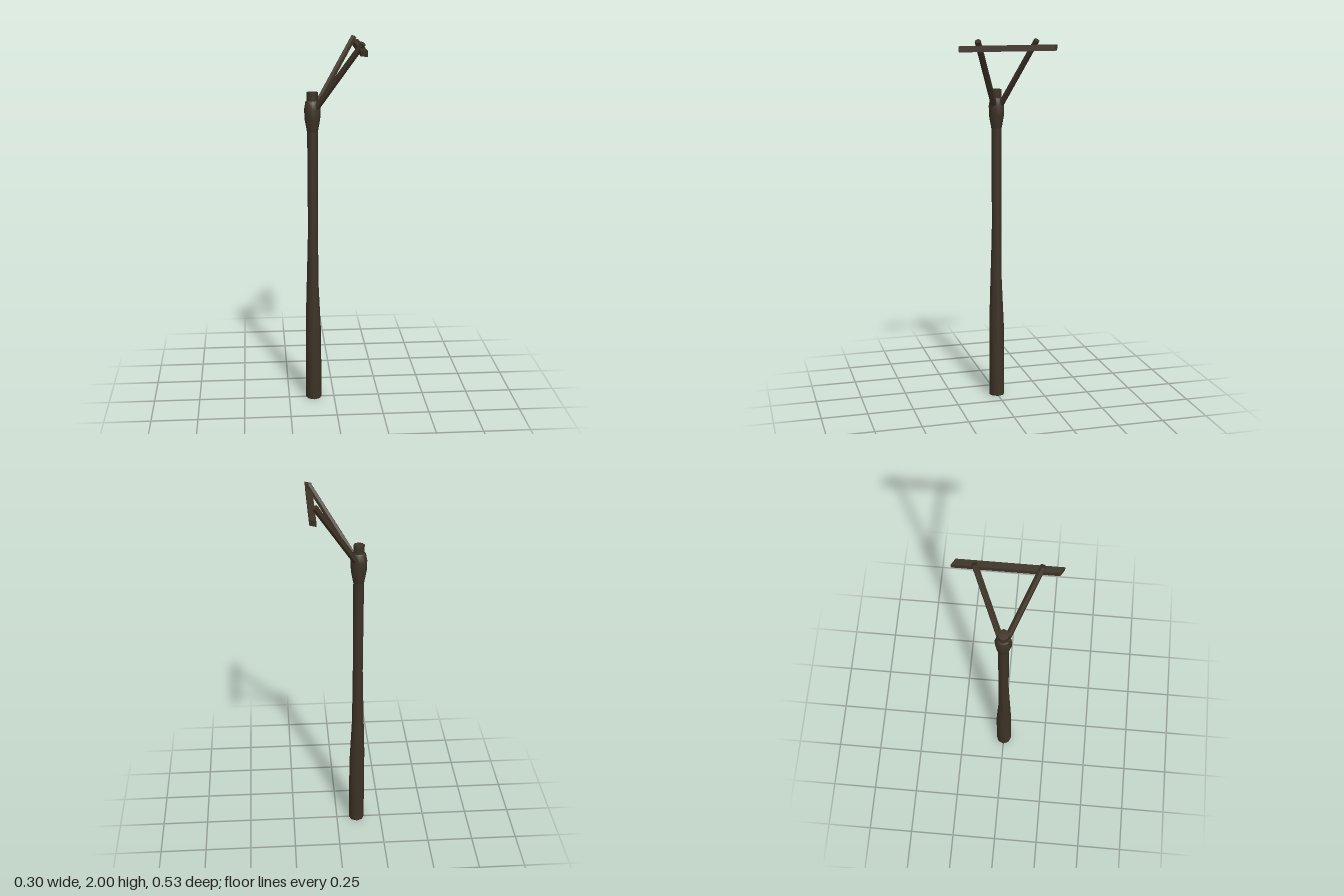
import * as THREE from 'three';
import { toCreasedNormals } from 'three/addons/utils/BufferGeometryUtils.js';

export function createModel() {
  const group = new THREE.Group();
  const wood = new THREE.MeshStandardMaterial({ color: 0x3d3226 });
  wood.name = 'darkWood';
  const axisX = -0.113;

  const add = (name, geometry, x = 0, y = 0, z = 0) => {
    const mesh = new THREE.Mesh(toCreasedNormals(geometry, 0.9), wood);
    mesh.name = name;
    mesh.position.set(x, y, z);
    group.add(mesh);
    return mesh;
  };

  // Turned part from [radius, height, tilt] rings; tilt leans a ring along the x/z diagonal
  const turned = (rings, sides) => {
    const geo = new THREE.LatheGeometry(rings.map(([r, y]) => new THREE.Vector2(r, y)), sides);
    const p = geo.attributes.position;
    for (let i = 0; i < p.count; i++) {
      const [r, , tilt = 0] = rings[i % rings.length];
      if (r > 0) p.setY(i, p.getY(i) - (tilt * (p.getX(i) - p.getZ(i))) / (r * Math.SQRT2));
    }
    return geo;
  };

  // Post: thick hewn foot narrowing unevenly to a slim shaft
  add('post', turned([
    [0, 0], [0.043, 0], [0.042, 0.42, 0.05], [0.029, 0.78, 0.16],
    [0.027, 0.98], [0.028, 1.52], [0.029, 1.718], [0, 1.72],
  ], 8), axisX);

  // Swollen binding around the head of the post
  add('binding', turned([
    [0, 1.5], [0.029, 1.51], [0.041, 1.575], [0.043, 1.63], [0.036, 1.67], [0, 1.69],
  ], 8), axisX);

  // Two struts spreading up from the binding
  const strut = (name, from, to) => {
    const a = new THREE.Vector3(...from), b = new THREE.Vector3(...to);
    const dir = b.clone().sub(a);
    const mesh = add(name, new THREE.CylinderGeometry(0.016, 0.017, dir.length(), 6));
    mesh.position.copy(a).add(b).multiplyScalar(0.5);
    mesh.quaternion.setFromUnitVectors(new THREE.Vector3(0, 1, 0), dir.normalize());
  };
  strut('frontStrut', [-0.105, 1.62, 0.012], [0.134, 1.986, 0.163]);
  strut('backStrut', [-0.105, 1.62, -0.012], [0.117, 1.986, -0.153]);

  // Crossbar with slanted ends
  const bar = new THREE.BoxGeometry(0.033, 0.03, 0.508);
  const p = bar.attributes.position;
  for (let i = 0; i < p.count; i++) p.setZ(i, p.getZ(i) + p.getX(i) * 0.6);
  bar.computeVertexNormals();
  add('crossbar', bar, 0.131, 1.947, 0);

  return group;
}
